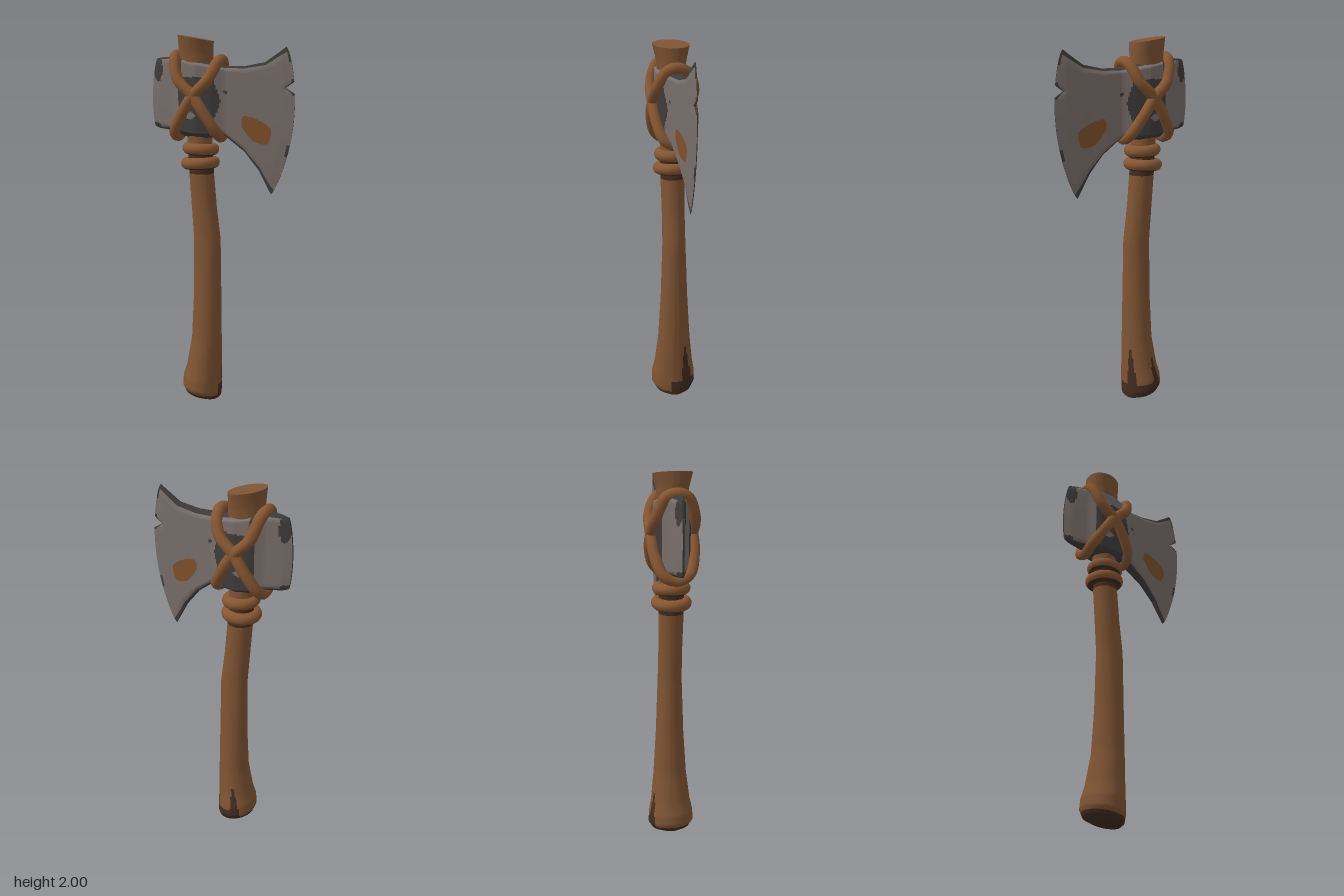
import * as THREE from 'three';
import { toCreasedNormals } from 'three/addons/utils/BufferGeometryUtils.js';

const { lerp, clamp, smoothstep } = THREE.MathUtils;
const mat = (name, color) =>
  Object.assign(new THREE.MeshStandardMaterial({ color }), { name });

function soup(points) {
  const g = new THREE.BufferGeometry();
  g.setAttribute('position', new THREE.Float32BufferAttribute(points.flat(), 3));
  return g;
}
const pushQuad = (out, a, b, c, d) => out.push(a, b, c, a, c, d);

// One geometry with a light and a dark material group
function twoTone(light, dark, crease) {
  const g = soup([...light, ...dark]);
  g.addGroup(0, light.length, 0);
  g.addGroup(light.length, dark.length, 1);
  return toCreasedNormals(g, crease);
}

// Split every interval of a list of numbers into n steps
const refine = (list, n) => list.flatMap((a, i) =>
  i === list.length - 1 ? [a] : Array.from({ length: n }, (_, k) => lerp(a, list[i + 1], k / n)));

// Handle sections: [y, centre x, x radius, z radius]
const sections = [
  [0.018, -0.11, 0.08, 0.07], [0.035, -0.115, 0.1, 0.105], [0.07, -0.12, 0.108, 0.125],
  [0.13, -0.118, 0.105, 0.122], [0.2, -0.108, 0.096, 0.108], [0.36, -0.093, 0.082, 0.09],
  [0.6, -0.088, 0.076, 0.075], [0.92, -0.088, 0.073, 0.063], [1.1, -0.105, 0.068, 0.062],
  [1.28, -0.119, 0.066, 0.065], [1.4, -0.125, 0.066, 0.065], [1.5, -0.13, 0.066, 0.065],
  [1.84, -0.143, 0.09, 0.073], [1.91, -0.146, 0.092, 0.08], [1.983, -0.148, 0.093, 0.098],
];

// Stained foot with two rising streaks, and a dark band beneath the cords
function isStained(y, degrees) {
  if (y > 1.28 && y < 1.4) return true;
  const streak = (at, top) => top - 0.014 * Math.abs(degrees - at);
  const foot = degrees > -115 && degrees < 15 ? 0.11 : 0.055;
  return y < Math.max(foot, streak(-30, 0.35), streak(-110, 0.3));
}

function handleGeometry(n = 72) {
  const steps = refine([...sections.keys()], 6);
  const point = (s, k) => {
    const i = Math.min(Math.floor(s), sections.length - 2);
    const [y, cx, rx, rz] = sections[i].map((a, c) => lerp(a, sections[i + 1][c], s - i));
    const a = (k / n) * Math.PI * 2 - Math.PI;
    const tilt = -0.18 * (1 - smoothstep(y, 0.07, 0.2) + smoothstep(y, 1.84, 1.92));
    return [cx + rx * Math.cos(a), y + tilt * rx * Math.cos(a), rz * Math.sin(a)];
  };
  const light = [], dark = [];
  const first = sections[0], top = sections.length - 1;
  for (let k = 0; k < n; k++) {
    const degrees = ((k + 0.5) / n) * 360 - 180;
    for (let j = 0; j < steps.length - 1; j++) {
      const [s, t] = [steps[j], steps[j + 1]];
      const y = lerp(sections[Math.floor(s)][0], sections[Math.floor(s) + 1][0], (s + t) / 2 - Math.floor(s));
      pushQuad(isStained(y, degrees) ? dark : light, point(s, k), point(t, k), point(t, k + 1), point(s, k + 1));
    }
    dark.push([first[1], first[0], 0], point(0, k), point(0, k + 1));
    light.push([sections[top][1], sections[top][0], 0], point(top, k + 1), point(top, k));
  }
  return twoTone(light, dark, 0.7);
}

// Head columns from poll to cutting edge: [bottom x, bottom y, top x, top y, half thickness, bulge]
const columns = [
  [-0.38, 1.525, -0.365, 1.88, 0.005, -0.02],
  [-0.35, 1.515, -0.335, 1.885, 0.02, -0.012],
  [-0.26, 1.505, -0.26, 1.89, 0.045, 0],
  [-0.2, 1.48, -0.2, 1.885, 0.08, 0],
  [-0.12, 1.47, -0.12, 1.87, 0.092, 0],
  [-0.04, 1.475, -0.04, 1.855, 0.072, 0],
  [0.02, 1.485, 0.02, 1.84, 0.045, 0],
  [0.125, 1.405, 0.125, 1.84, 0.034, 0],
  [0.2, 1.31, 0.23, 1.86, 0.021, 0.025],
  [0.245, 1.225, 0.31, 1.915, 0.011, 0.042],
  [0.265, 1.185, 0.335, 1.935, 0.002, 0.08],
];
const levels = [0, 0.035, 0.1, 0.2, 0.28, 0.34, 0.45, 0.55, 0.65, 0.69, 0.73, 0.77, 0.85, 0.92, 0.965, 1];

// Point on the head at column u, height fraction v, on the front (+1) or back (-1)
function headPoint(u, v, side, lift = 0) {
  const i = Math.min(Math.floor(u), columns.length - 2);
  const c = columns[i].map((a, k) => lerp(a, columns[i + 1][k], u - i));
  const notch = Math.max(0, u - 9) * 0.045 * Math.max(0, 1 - Math.abs(v - 0.73) / 0.04);
  const thin = 0.55 + 0.45 * clamp(Math.min(v, 1 - v) / 0.06, 0, 1);
  return [
    c[0] + (c[2] - c[0]) * v + c[5] * Math.pow(Math.max(0, Math.sin(Math.PI * v)), 0.7) - notch,
    c[1] + (c[3] - c[1]) * v,
    side * (c[4] * thin + lift),
  ];
}

// Worn, darkened areas of the head faces
function isWorn(u, v) {
  const [x, y] = headPoint(u, v, 1);
  const inside = (cx, cy, rx, ry) => ((x - cx) / rx) ** 2 + ((y - cy) / ry) ** 2 < 1;
  if (v < 0.03 || v > 0.975) return true;
  // Poll corners
  if (inside(-0.355, 1.83, 0.028, 0.07) || inside(-0.375, 1.525, 0.04, 0.022)) return true;
  // Around the eye, with clean metal at the top and a small bare spot
  if (inside(-0.15, 1.59, 0.026, 0.018)) return false;
  if (x > -0.2 && x < -0.05 && y > 1.785) return false;
  if (x > -0.22 && x < 0.005 - 0.12 * Math.abs(v - 0.5)) return true;
  // Nicks along the cutting edge
  return u > 9.7 && (v > 0.9 || (v > 0.26 && v < 0.34) || (v > 0.68 && v < 0.79));
}

function headGeometry() {
  const light = [], dark = [];
  const us = refine([...columns.keys()], 8), vs = refine(levels, 4);
  const m = columns.length - 1;
  for (let j = 0; j < vs.length - 1; j++) {
    const v0 = vs[j], v1 = vs[j + 1];
    for (let i = 0; i < us.length - 1; i++) {
      const u0 = us[i], u1 = us[i + 1];
      const out = isWorn((u0 + u1) / 2, (v0 + v1) / 2) ? dark : light;
      const p = (s) => [headPoint(u0, v0, s), headPoint(u1, v0, s), headPoint(u1, v1, s), headPoint(u0, v1, s)];
      pushQuad(out, ...p(1));
      pushQuad(out, ...p(-1).reverse());
    }
    // Cutting edge and poll edge
    pushQuad(dark, headPoint(m, v0, 1), headPoint(m, v0, -1), headPoint(m, v1, -1), headPoint(m, v1, 1));
    pushQuad(dark, headPoint(0, v0, -1), headPoint(0, v0, 1), headPoint(0, v1, 1), headPoint(0, v1, -1));
  }
  // Top and underside
  for (let i = 0; i < us.length - 1; i++) {
    const u0 = us[i], u1 = us[i + 1];
    pushQuad(dark, headPoint(u0, 1, 1), headPoint(u1, 1, 1), headPoint(u1, 1, -1), headPoint(u0, 1, -1));
    pushQuad(dark, headPoint(u0, 0, -1), headPoint(u1, 0, -1), headPoint(u1, 0, 1), headPoint(u0, 0, 1));
  }
  return twoTone(light, dark, 0.6);
}

// Thin patch following the head surface, outlined by [u, v] points
function patchGeometry(outline, side) {
  const n = outline.length;
  const centre = [0, 1].map((k) => outline.reduce((sum, p) => sum + p[k], 0) / n);
  const at = ([u, v]) => headPoint(u, v, side, 0.004);
  const out = [];
  outline.forEach((p, k) => {
    const tri = [at(centre), at(p), at(outline[(k + 1) % n])];
    out.push(...(side > 0 ? tri.reverse() : tri));
  });
  const g = soup(out);
  g.computeVertexNormals();
  return g;
}

// Part of a round cord ring, swept between two angles of its section
function ringGeometry(radius, from, to) {
  const arc = Array.from({ length: 13 }, (_, k) => {
    const a = THREE.MathUtils.degToRad(lerp(from, to, k / 12));
    return new THREE.Vector2(radius + 0.031 * Math.cos(a), 0.031 * Math.sin(a));
  });
  return new THREE.LatheGeometry(arc, 32);
}

export function createModel() {
  const wood = mat('wood', 0x7f5433);
  const darkWood = mat('dark wood', 0x432c20);
  const leather = mat('leather', 0x865632);
  const steel = mat('steel', 0x786e6a);
  const darkSteel = mat('dark steel', 0x3f3b3b);
  const rust = mat('rust', 0x7f502b);
  const model = new THREE.Group();
  model.name = 'axe';
  const add = (name, geometry, material) => {
    const mesh = new THREE.Mesh(geometry, material);
    mesh.name = name;
    model.add(mesh);
    return mesh;
  };

  add('handle', handleGeometry(), [wood, darkWood]);

  // Head with rust and a chip on both faces (outlines run clockwise seen from the front)
  add('axeHead', headGeometry(), [steel, darkSteel]);
  const rustOutline = [[6.9, 0.29], [6.9, 0.37], [7, 0.425], [7.4, 0.45], [7.8, 0.445], [8.1, 0.433], [8.4, 0.41],
    [8.45, 0.36], [8.35, 0.29], [8.2, 0.262], [7.85, 0.23], [7.5, 0.21], [7.2, 0.23]];
  const chipOutline = [[5.95, 0.63], [6, 0.66], [6.2, 0.66], [6.15, 0.61]];
  for (const side of [1, -1]) {
    add('rustPatch', patchGeometry(rustOutline, side), rust);
    add('chipMark', patchGeometry(chipOutline, side), darkSteel);
  }

  // Crossed lashings: each loop runs diagonally down the front and back up behind
  const half = [[-0.115, 1.865, 0.055], [-0.08, 1.77, 0.098], [0, 1.69, 0.105], [0.06, 1.6, 0.1], [0.115, 1.505, 0.065]];
  for (const s of [1, -1]) {
    const at = ([x, y, z]) => new THREE.Vector3(-0.13 + s * x, y + (y > 1.8 ? s * 0.012 : 0), z);
    const path = [
      at([-0.122, 1.885, 0]),
      ...half.map(at),
      at([0.12, 1.475, 0]),
      ...half.slice().reverse().map(([x, y, z]) => at([x, y, -z])),
    ];
    add('lashing', new THREE.TubeGeometry(new THREE.CatmullRomCurve3(path, true), 72, 0.029, 10, true), leather);
  }

  // Rings of cord below the head, stained underneath
  for (const [y, x, r, tilt] of [[1.412, -0.123, 0.067, -0.06], [1.336, -0.126, 0.073, 0.04]]) {
    for (const [name, from, to, material] of [['cordRing', -50, 230, leather], ['cordUnderside', 230, 310, darkWood]]) {
      const ring = add(name, ringGeometry(r, from, to), material);
      ring.position.set(x, y, 0);
      ring.rotation.z = tilt;
    }
  }
  return model;
}
